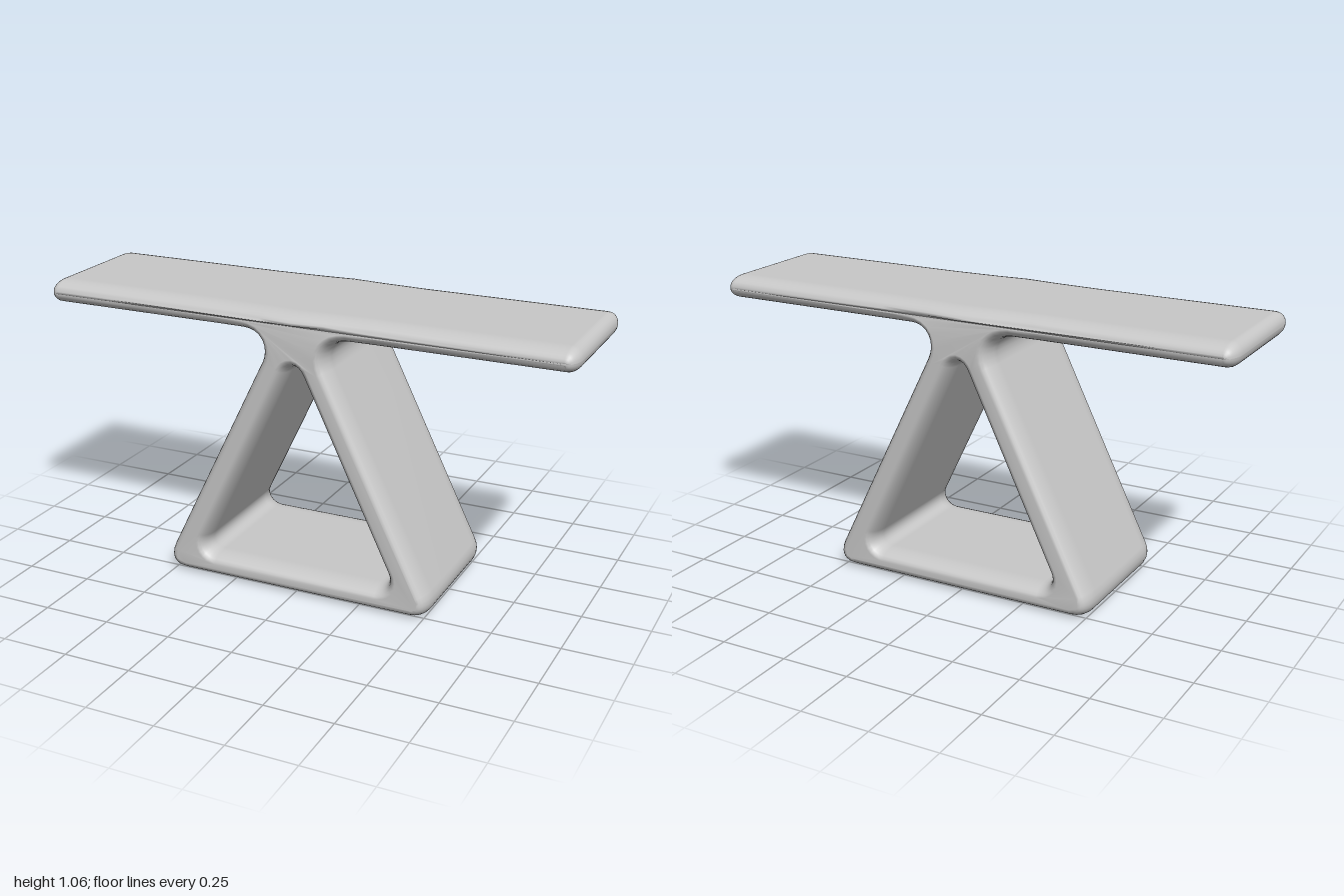
import * as THREE from 'three';
import { mergeVertices } from 'three/addons/utils/BufferGeometryUtils.js';

// Draws a closed outline through corners [x, y, trim], rounding each by its trim length
function roundedOutline(path, corners) {
  const n = corners.length;
  const K = 0.55;
  corners.forEach(([x, y, trim], i) => {
    const corner = new THREE.Vector2(x, y);
    const toward = ([px, py], d) => new THREE.Vector2(px - x, py - y).setLength(d).add(corner);
    const a = toward(corners[(i + n - 1) % n], trim);
    const b = toward(corners[(i + 1) % n], trim);
    if (i === 0) path.moveTo(a.x, a.y);
    else path.lineTo(a.x, a.y);
    if (trim > 0) {
      const c1 = a.clone().lerp(corner, K);
      const c2 = b.clone().lerp(corner, K);
      path.bezierCurveTo(c1.x, c1.y, c2.x, c2.y, b.x, b.y);
    }
  });
  path.closePath();
  return path;
}

export function createModel() {
  const group = new THREE.Group();
  const grey = new THREE.MeshStandardMaterial({ color: 0xc8c8c8 });
  grey.name = 'light grey';

  // Right half of the outline, from the foot up to the top of the plank
  const half = [
    [0.56, 0, 0.11],
    [0.078, 0.975, 0.12],
    [0.3, 0.975, 0],
    [1, 0.975, 0.042],
    [1, 1.06, 0.042],
    [0.3, 1.06, 0],
    [0.12, 1.06, 0],
  ];
  const mirrored = half.map(([x, y, r]) => [-x, y, r]).reverse();
  const outline = roundedOutline(new THREE.Shape(), [...half, [0, 1.06, 0], ...mirrored]);

  // Triangular opening between the legs
  outline.holes.push(roundedOutline(new THREE.Path(), [
    [0.389, 0.09, 0.07],
    [-0.389, 0.09, 0.07],
    [0, 0.9, 0.07],
  ]));

  // Soft edged extrusion along z
  const bevel = 0.036;
  const depth = 0.416;
  let geometry = new THREE.ExtrudeGeometry(outline, {
    depth, curveSegments: 8,
    bevelSize: bevel, bevelOffset: -bevel, bevelThickness: 0.08, bevelSegments: 6,
  });
  geometry.translate(0, 0, -depth / 2);

  // The plank is slightly narrower than the stand, swelling where they meet
  const pos = geometry.attributes.position;
  for (let i = 0; i < pos.count; i++) {
    const plank = THREE.MathUtils.smoothstep(pos.getY(i), 0.9, 0.975);
    const swell = Math.exp(-((pos.getX(i) / 0.13) ** 2));
    pos.setZ(i, pos.getZ(i) * (1 + plank * (0.068 * swell - 0.045)));
  }

  // Share vertices so the surface shades smoothly
  geometry.deleteAttribute('uv');
  geometry.deleteAttribute('normal');
  geometry.clearGroups();
  geometry = mergeVertices(geometry, 1e-5);
  geometry.computeVertexNormals();

  const table = new THREE.Mesh(geometry, grey);
  table.name = 'plankOnTriangularStand';
  group.add(table);
  return group;
}
